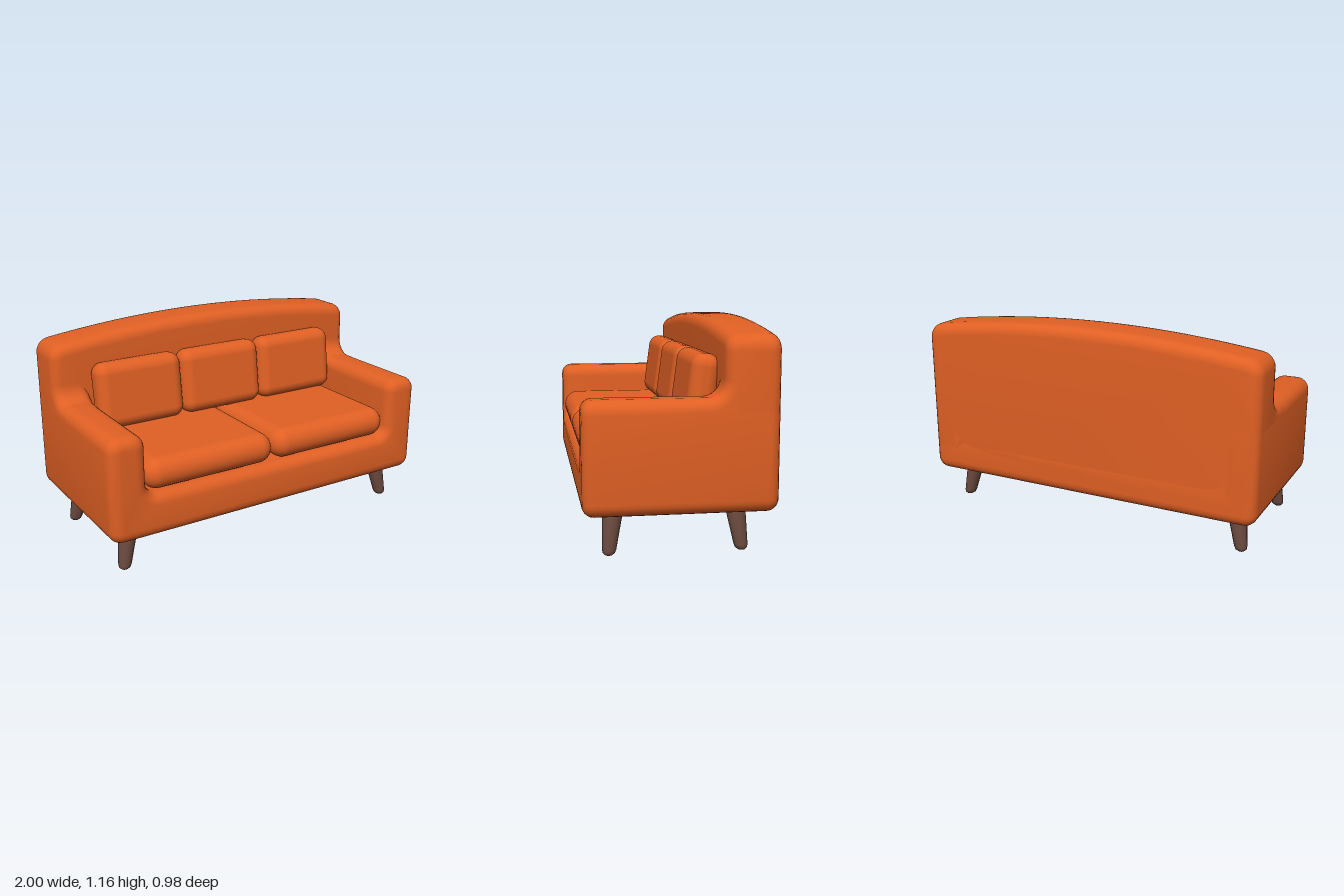
import * as THREE from 'three';
import { toCreasedNormals } from 'three/addons/utils/BufferGeometryUtils.js';
import { RoundedBoxGeometry } from 'three/addons/geometries/RoundedBoxGeometry.js';

// Closed outline through [x, y, cornerRadius] points
function roundedShape(points) {
  const shape = new THREE.Shape();
  const n = points.length;
  points.forEach(([x, y, r], i) => {
    const corner = new THREE.Vector2(x, y);
    const toward = (q, d) => new THREE.Vector2(q[0], q[1]).sub(corner).setLength(d).add(corner);
    const prev = points[(i + n - 1) % n], next = points[(i + 1) % n];
    const a = r ? toward(prev, r) : corner;
    if (i === 0) shape.moveTo(a.x, a.y);
    else shape.lineTo(a.x, a.y);
    if (!r) return;
    const b = toward(next, r), k = 0.448 * r;
    const c1 = toward(prev, k), c2 = toward(next, k);
    shape.bezierCurveTo(c1.x, c1.y, c2.x, c2.y, b.x, b.y);
  });
  return shape;
}

// Padded slab: outline extruded along z, centred, with soft edges
function padded(points, depth, bevel = 0.06) {
  const geo = new THREE.ExtrudeGeometry(roundedShape(points), {
    depth: depth - 2 * bevel, curveSegments: 6,
    bevelEnabled: true, bevelThickness: bevel, bevelSize: bevel,
    bevelOffset: -bevel, bevelSegments: 5,
  });
  geo.translate(0, 0, bevel - depth / 2);
  return toCreasedNormals(geo, 0.8);
}

export function createModel() {
  const model = new THREE.Group();
  model.name = 'sofa';
  const fabric = new THREE.MeshStandardMaterial({ color: 0xe06024 });
  fabric.name = 'orange fabric';
  const wood = new THREE.MeshStandardMaterial({ color: 0x6d4c41 });
  wood.name = 'brown wood';

  const add = (name, geo, mat, x = 0, y = 0, z = 0) => {
    const mesh = new THREE.Mesh(geo, mat);
    mesh.name = name;
    mesh.position.set(x, y, z);
    model.add(mesh);
    return mesh;
  };

  // Base and arms in one U-shaped body
  const r = 0.07;
  add('baseAndArms', padded([
    [-1, 0.21, r], [1, 0.21, r], [1, 0.785, r], [0.79, 0.785, r],
    [0.79, 0.45, 0.06], [-0.79, 0.45, 0.06], [-0.79, 0.785, r], [-1, 0.785, r],
  ], 0.98), fabric);

  // Backrest with a gently arched top
  const outline = [[-1, 0.21, r], [1, 0.21, r], [1, 1.085, r]];
  for (let i = -8; i <= 8; i++) {
    const x = -i * 0.107;
    outline.push([x, 1.16 - 0.075 * x * x, 0]);
  }
  outline.push([-1, 1.085, r]);
  add('backrest', padded(outline, 0.28), fabric, 0, 0, -0.35);

  // Curved transitions from the arms up into the backrest
  const joint = padded([
    [-0.49, 0.3, r], [0, 0.3, r], [0, 0.783, r],
    [-0.21, 0.783, 0.09], [-0.21, 1.075, r], [-0.49, 1.075, r],
  ], 0.21).rotateY(-Math.PI / 2);
  for (const s of [-1, 1]) add(s > 0 ? 'leftArmJoint' : 'rightArmJoint', joint, fabric, s * 0.895);

  // Two seat cushions
  const seat = new RoundedBoxGeometry(0.786, 0.172, 0.72, 6, 0.085);
  for (const s of [-1, 1]) add('seatCushion', seat, fabric, s * 0.395, 0.538, 0.123);

  // Three leaning back cushions
  const pillow = new RoundedBoxGeometry(0.525, 0.375, 0.15, 6, 0.065);
  for (const i of [-1, 0, 1]) {
    add('backCushion', pillow, fabric, i * 0.527, 0.798, -0.143).rotation.x = -0.13;
  }

  // Splayed tapered legs with rounded feet, sheared outward toward the floor
  const profile = [[0, 0], [0.018, 0.003], [0.031, 0.013], [0.036, 0.03], [0.053, 0.22], [0, 0.22]]
    .map(([x, y]) => new THREE.Vector2(x, y));
  for (const sx of [-1, 1]) for (const sz of [-1, 1]) {
    const leg = new THREE.LatheGeometry(profile, 16);
    const p = leg.attributes.position;
    for (let i = 0; i < p.count; i++) {
      p.setX(i, p.getX(i) - sx * 0.19 * p.getY(i));
      p.setZ(i, p.getZ(i) - sz * 0.12 * p.getY(i));
    }
    const smooth = toCreasedNormals(leg, 0.8);
    add(sz > 0 ? 'frontLeg' : 'backLeg', smooth, wood, sx * 0.885, 0, sz > 0 ? 0.355 : -0.32);
  }

  return model;
}
